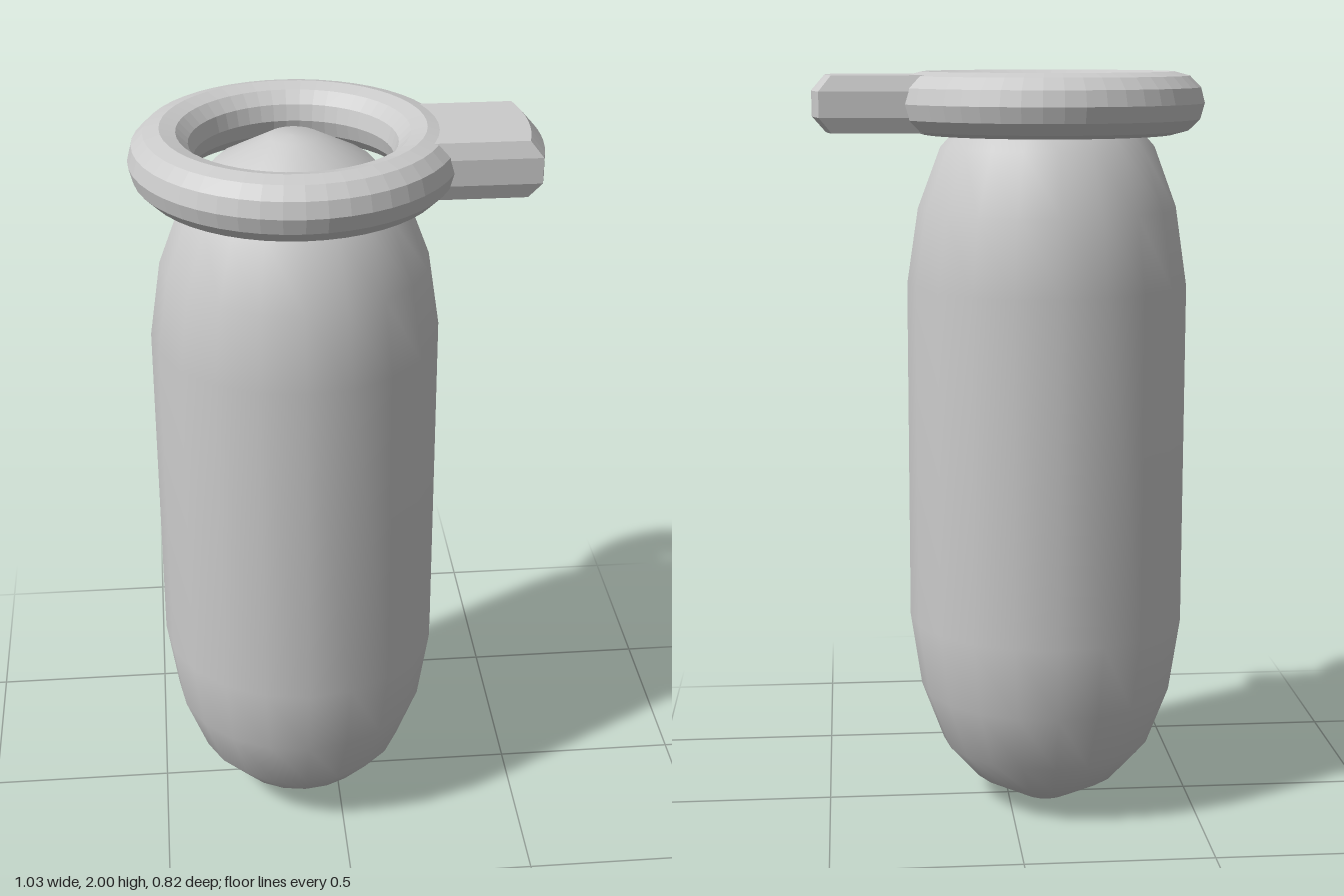
import * as THREE from 'three';

const AXIS_X = -0.105; // shared axis of the body and the ring
const RING_Y = 1.92;

// Capsule body: faceted profile with mirrored end caps
function makeBody(material) {
  const cap = [[0, 0], [0.065, 0.002], [0.2, 0.075], [0.285, 0.17], [0.345, 0.33], [0.375, 0.53]];
  const top = cap.map(([r, y]) => [r, 1.975 - y]).reverse();
  const profile = [...cap, ...top].map(([r, y]) => new THREE.Vector2(r, y));
  const body = new THREE.Mesh(new THREE.LatheGeometry(profile, 20), material);
  body.name = 'body';
  body.position.x = AXIS_X;
  return body;
}

// Grip tab: stacked outlines with an arced outer end, bevelled above and below
function makeTab(material) {
  const arcSteps = 8;
  const levels = [ // y, half width, end radius about the axis
    [1.847, 0.143, 0.585], [1.887, 0.157, 0.62],
    [1.953, 0.157, 0.62], [1.993, 0.143, 0.585],
  ];
  const loops = levels.map(([y, w, r]) => {
    const loop = [[0.2, y, w]];
    const a = Math.asin(w / r);
    for (let i = 0; i <= arcSteps; i++) {
      const t = a - (2 * a * i) / arcSteps;
      loop.push([AXIS_X + r * Math.cos(t), y, r * Math.sin(t)]);
    }
    loop.push([0.2, y, -w]);
    return loop;
  });
  const n = loops[0].length;
  const positions = [];
  const tri = (a, b, c) => positions.push(...a, ...b, ...c);
  for (let k = 0; k < loops.length - 1; k++) {
    for (let i = 0; i < n; i++) {
      const j = (i + 1) % n;
      const lo = loops[k], hi = loops[k + 1];
      tri(lo[i], lo[j], hi[j]);
      tri(lo[i], hi[j], hi[i]);
    }
  }
  const bottom = loops[0], top = loops[loops.length - 1];
  for (let i = 1; i < n - 1; i++) {
    tri(top[0], top[i], top[i + 1]);
    tri(bottom[0], bottom[i + 1], bottom[i]);
  }
  const geometry = new THREE.BufferGeometry();
  geometry.setAttribute('position', new THREE.Float32BufferAttribute(positions, 3));
  geometry.computeVertexNormals();
  const tab = new THREE.Mesh(geometry, material);
  tab.name = 'tab';
  return tab;
}

export function createModel() {
  const smooth = new THREE.MeshStandardMaterial({ color: 0xcccccc });
  const faceted = new THREE.MeshStandardMaterial({ color: 0xcccccc, flatShading: true });

  // Ring around the top of the body
  const ring = new THREE.Mesh(new THREE.TorusGeometry(0.331, 0.081, 12, 48).rotateX(Math.PI / 2), faceted);
  ring.name = 'ring';
  ring.position.set(AXIS_X, RING_Y, 0);

  const model = new THREE.Group();
  model.name = 'ringedCapsule';
  model.add(makeBody(smooth), ring, makeTab(faceted));
  return model;
}
